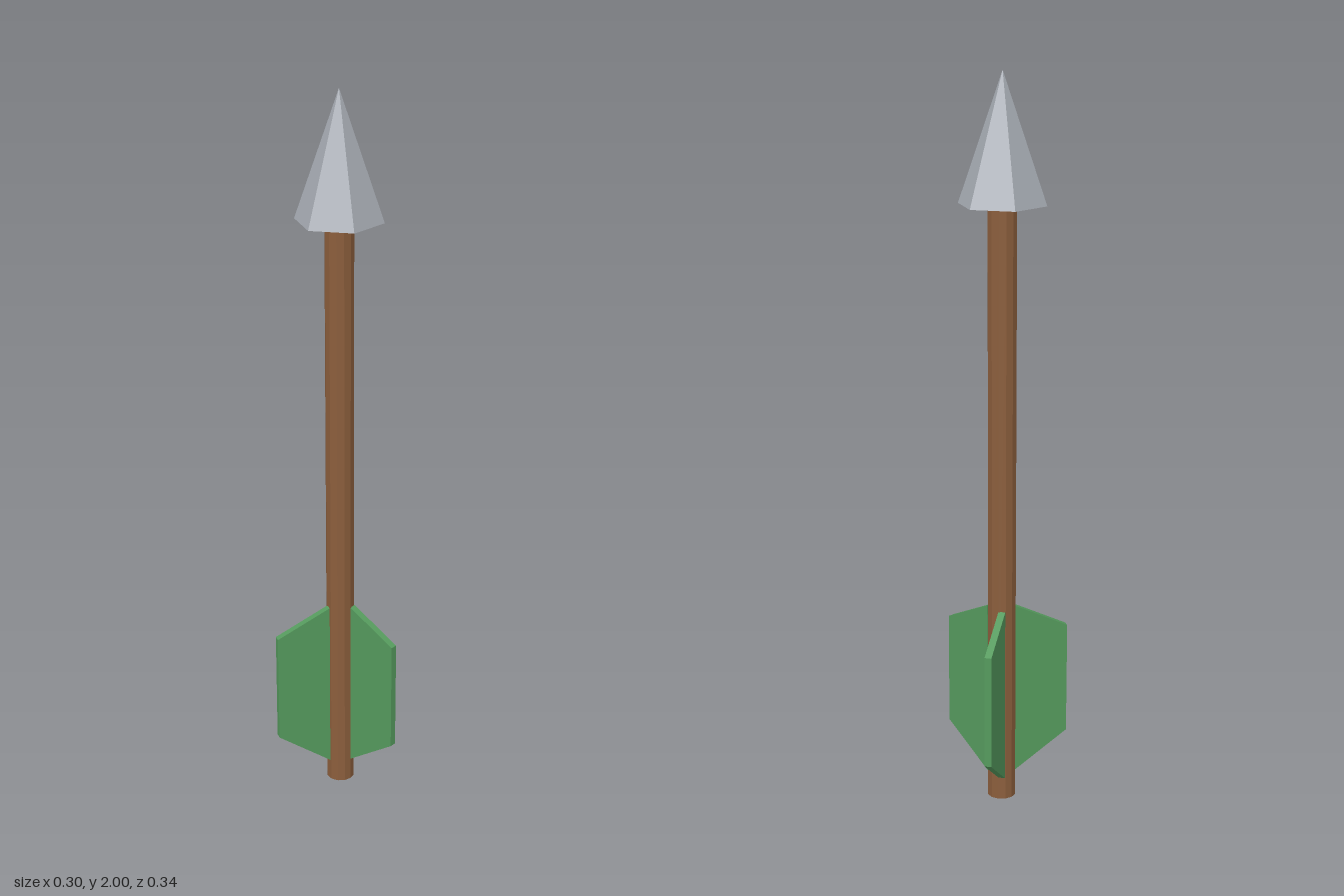
import * as THREE from 'three';

export function createModel() {
  const steel = new THREE.MeshStandardMaterial({ name: 'steelGrey', color: 0xa8adb5, flatShading: true });
  const wood = new THREE.MeshStandardMaterial({ name: 'woodBrown', color: 0x8b5e3c, flatShading: true });
  const feather = new THREE.MeshStandardMaterial({ name: 'featherGreen', color: 0x559a5d, flatShading: true });

  const group = new THREE.Group();
  group.name = 'arrow';
  group.position.set(-0.04, 0, -0.006); // shaft axis, offset so the fins are centred

  const add = (name, geometry, material, y = 0) => {
    const mesh = new THREE.Mesh(geometry, material);
    mesh.name = name;
    mesh.position.y = y;
    group.add(mesh);
    return mesh;
  };

  // Shaft
  const headBase = 1.66;
  const radius = 0.039;
  add('shaft', new THREE.CylinderGeometry(radius, radius, headBase, 12), wood, headBase / 2);

  // Six-sided head
  const headHeight = 2 - headBase;
  add('head', new THREE.ConeGeometry(0.118, headHeight, 6), steel, headBase + headHeight / 2);

  // Three fins, each with one face on the radial plane
  const thickness = 0.019;
  const outline = new THREE.Shape([
    [0.037, 0.064], [0.188, 0.17], [0.188, 0.485], [0.037, 0.558],
  ].map(([x, y]) => new THREE.Vector2(x, y)));
  const finGeometry = new THREE.ExtrudeGeometry(outline, { depth: thickness, bevelEnabled: false });
  finGeometry.translate(0, 0, -thickness);
  for (let i = 0; i < 3; i++) {
    add(`fin${i + 1}`, finGeometry, feather).rotation.y = (i * Math.PI * 2) / 3;
  }

  const model = new THREE.Group();
  model.name = 'model';
  model.add(group);
  return model;
}
